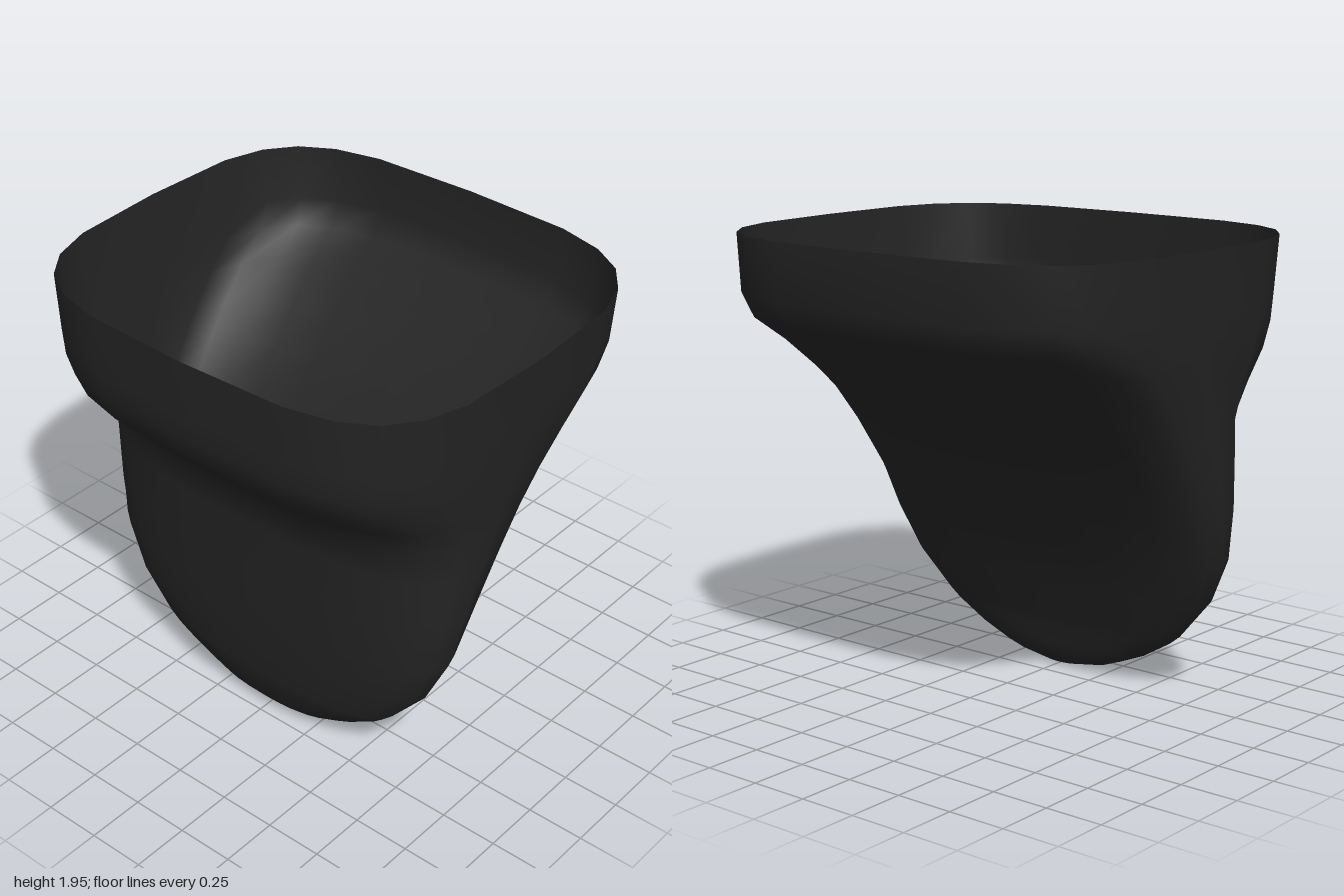
import * as THREE from 'three';

// Horizontal cross-sections: height, half width, front z, back z, z of widest point, squareness
const SECTIONS = [
  [0.005, 0.08, 0.42, 0.36, 0.39, 2.2],
  [0.03, 0.23, 0.445, 0.34, 0.39, 2.2],
  [0.06, 0.31, 0.47, 0.315, 0.39, 2.2],
  [0.115, 0.44, 0.49, 0.3, 0.385, 2.2],
  [0.2, 0.58, 0.52, 0.28, 0.38, 2.3],
  [0.24, 0.63, 0.525, 0.265, 0.38, 2.3],
  [0.41, 0.78, 0.55, 0.2, 0.36, 2.4],
  [0.61, 0.87, 0.56, 0.12, 0.33, 2.5],
  [0.84, 0.905, 0.573, -0.01, 0.28, 2.6],
  [1.06, 0.925, 0.585, -0.18, 0.21, 2.75],
  [1.22, 0.935, 0.6, -0.33, 0.15, 2.9],
  [1.35, 0.945, 0.72, -0.475, 0.1, 3.1],
  [1.48, 0.957, 0.84, -0.64, 0.05, 3.4],
  [1.59, 0.967, 0.88, -0.82, 0.02, 3.6],
  [1.7, 0.977, 0.88, -0.88, 0, 3.7],
  [1.945, 1.0, 0.88, -0.88, 0, 3.7],
];
const SIDES = 24;

// Lofts rounded-square rings into one open shell, closed at the bottom tip
function shellGeometry() {
  const positions = [0, 0, 0.39];
  const index = [];
  for (const [y, w, front, back, mid, n] of SECTIONS) {
    for (let i = 0; i < SIDES; i++) {
      const a = (i / SIDES) * Math.PI * 2;
      const round = (v) => (Math.abs(v) < 1e-9 ? 0 : Math.sign(v) * Math.abs(v) ** (2 / n));
      const s = round(Math.sin(a));
      const depth = s > 0 ? front - mid : mid - back;
      positions.push(w * round(Math.cos(a)), y, mid + s * depth);
    }
  }
  for (let i = 0; i < SIDES; i++) {
    const j = (i + 1) % SIDES;
    index.push(0, 1 + i, 1 + j);
    for (let r = 0; r < SECTIONS.length - 1; r++) {
      const lo = 1 + r * SIDES;
      const hi = lo + SIDES;
      index.push(lo + i, hi + i, hi + j, lo + i, hi + j, lo + j);
    }
  }
  const geometry = new THREE.BufferGeometry();
  geometry.setAttribute('position', new THREE.Float32BufferAttribute(positions, 3));
  geometry.setIndex(index);
  geometry.computeVertexNormals();
  return geometry;
}

export function createModel() {
  const model = new THREE.Group();
  model.name = 'openPouch';

  // Thin open-topped shell, visible inside and out
  const charcoal = new THREE.MeshStandardMaterial({ color: 0x242424, side: THREE.DoubleSide });
  charcoal.name = 'charcoal';
  const shell = new THREE.Mesh(shellGeometry(), charcoal);
  shell.name = 'pouchShell';
  model.add(shell);
  return model;
}
